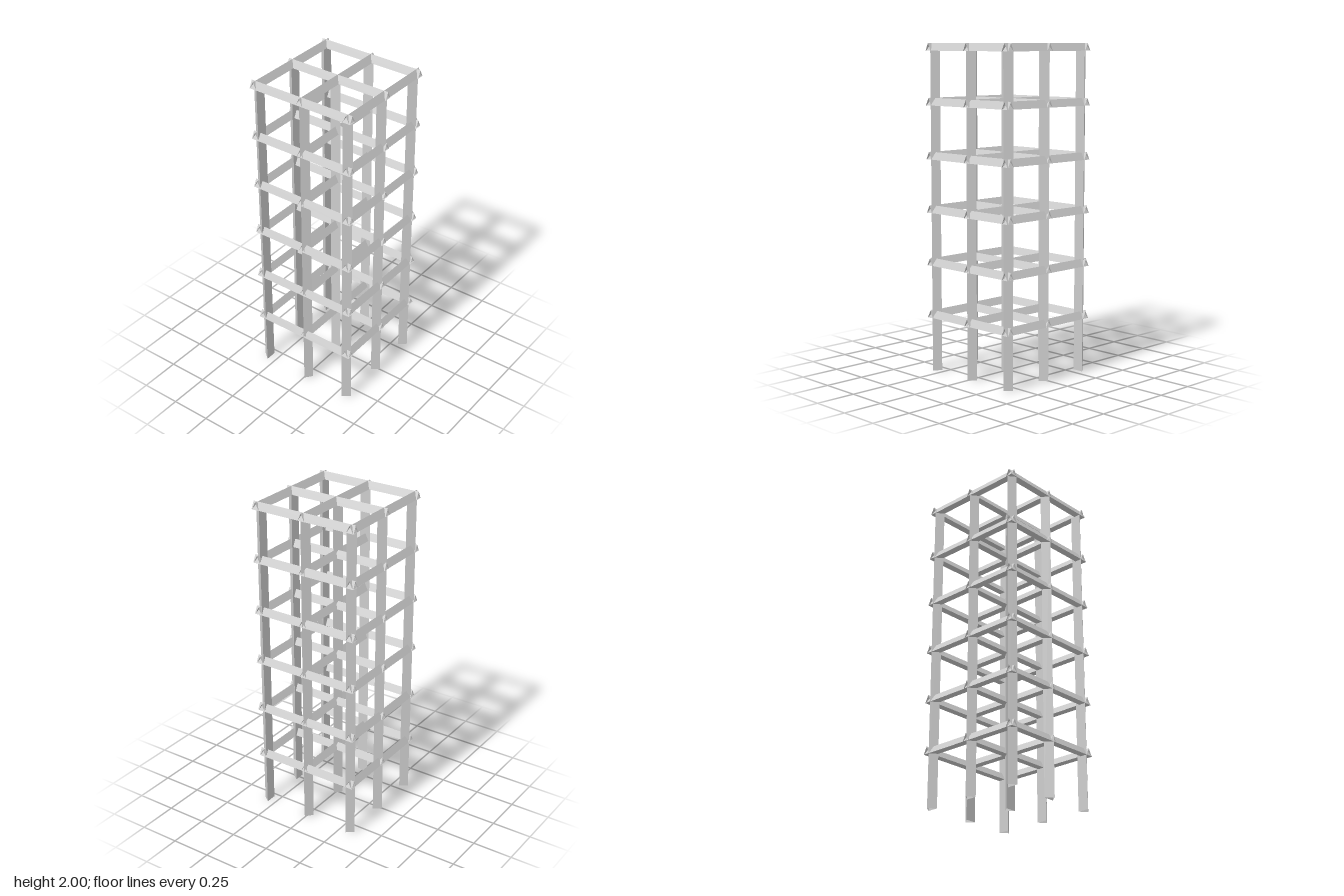
import * as THREE from 'three';

const material = new THREE.MeshStandardMaterial({
  color: 0xcccccc, flatShading: true, side: THREE.DoubleSide,
});

// Open triangular prism along y: ridge towards +z, bounding box centred on the origin
function prism(width, depth, length) {
  const geo = new THREE.CylinderGeometry(1, 1, 1, 3, 1, true).toNonIndexed();
  geo.translate(0, 0, -0.25);
  geo.scale(width / Math.sqrt(3), length, depth / 1.5);
  geo.computeVertexNormals();
  return geo;
}

function add(parent, geo, name, x, y, z, turn = 0) {
  const mesh = new THREE.Mesh(geo, material);
  mesh.name = name;
  mesh.position.set(x, y, z);
  mesh.rotation.y = turn;
  parent.add(mesh);
}

export function createModel() {
  const model = new THREE.Group();
  model.name = 'towerFrame';

  const beam = 0.045;
  const columnWidth = 0.07;
  const columnTop = 1.957;
  const xLines = [-0.327, 0.005, 0.325];
  const zLines = [-0.321, 0.002, 0.318];

  // Columns: front and back rows point outwards along z, the middle row along x
  const columns = new THREE.Group();
  columns.name = 'columns';
  const columnGeo = prism(columnWidth, beam, columnTop);
  const outerX = [-0.313, 0.002, 0.31];
  for (let i = 0; i < 3; i++) {
    add(columns, columnGeo, 'backColumn', outerX[i], columnTop / 2, zLines[0], Math.PI);
    add(columns, columnGeo, 'frontColumn', outerX[i], columnTop / 2, zLines[2]);
    add(columns, columnGeo, 'middleColumn', xLines[i], columnTop / 2, 0.004,
      i === 0 ? -Math.PI / 2 : Math.PI / 2);
  }
  model.add(columns);

  // Beams lie flat with the ridge on top
  const longBeam = prism(beam, beam, 0.692).rotateX(-Math.PI / 2);
  const crossBeam = prism(beam, beam, 0.697).rotateX(-Math.PI / 2).rotateY(Math.PI / 2);

  // Six floors, each a two by two grid of beams
  for (let level = 0; level < 6; level++) {
    const floor = new THREE.Group();
    floor.name = 'floorGrid';
    floor.position.y = 0.33 + 0.325 * level + beam / 2;
    for (const x of xLines) add(floor, longBeam, 'depthBeam', x, 0, 0);
    for (const z of zLines) add(floor, crossBeam, 'widthBeam', 0, 0, z);
    model.add(floor);
  }
  return model;
}
